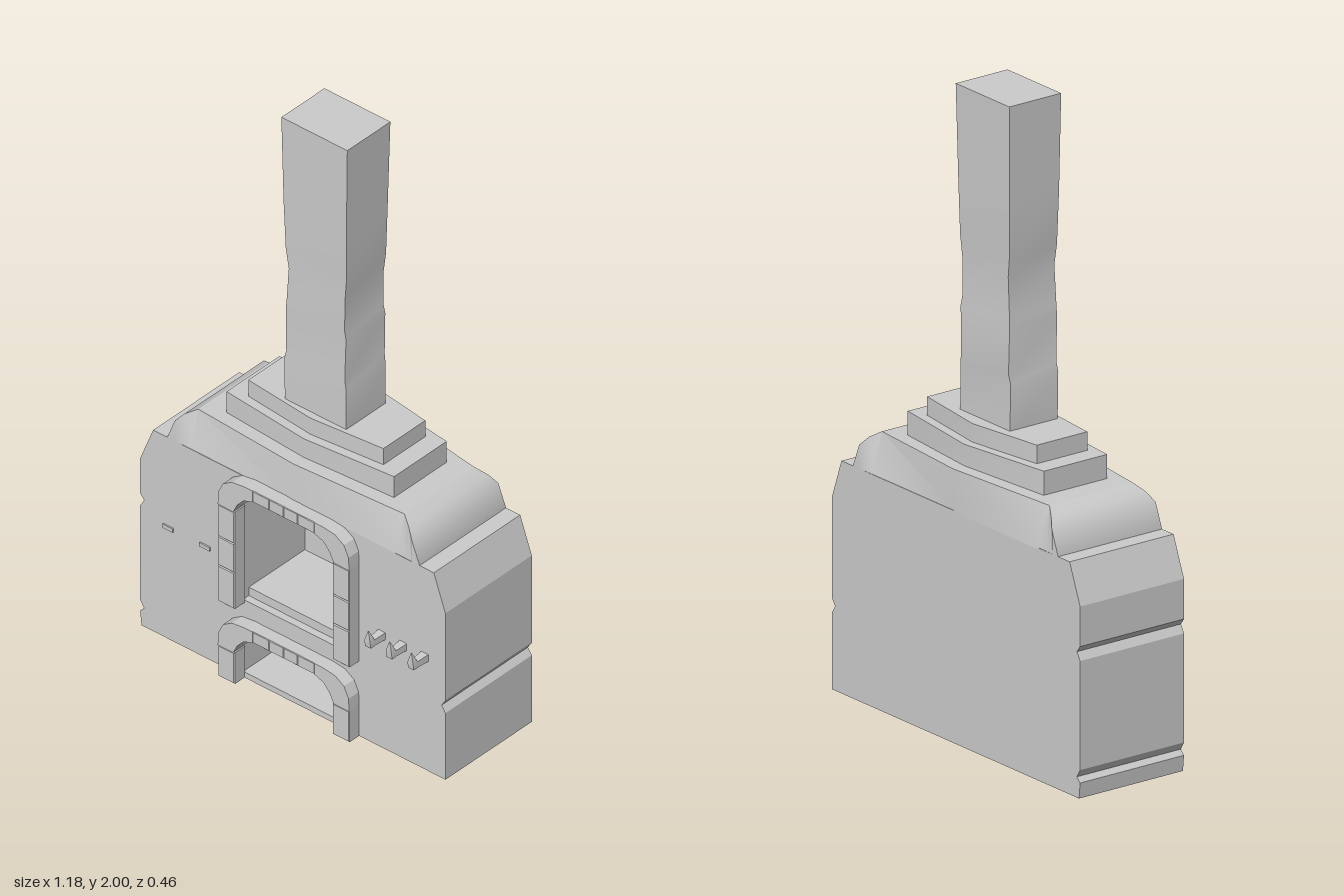
import * as THREE from 'three';
import { toCreasedNormals } from 'three/addons/utils/BufferGeometryUtils.js';

const stone = new THREE.MeshStandardMaterial({ color: 0xcccccc });

function add(parent, name, geometry, x = 0, y = 0, z = 0) {
  const mesh = new THREE.Mesh(geometry, stone);
  mesh.name = name;
  mesh.position.set(x, y, z);
  parent.add(mesh);
  return mesh;
}

function shapeOf(points) {
  return new THREE.Shape(points.map(([x, y]) => new THREE.Vector2(x, y)));
}

function extrude(shape, depth, bevel = 0) {
  return new THREE.ExtrudeGeometry(shape, {
    depth: depth - bevel, bevelEnabled: bevel > 0, bevelSize: bevel,
    bevelThickness: bevel, bevelOffset: -bevel, bevelSegments: 1, curveSegments: 10,
  });
}

// Skin a series of rings (counter-clockwise seen from the end), with end caps
function loft(rings) {
  const pos = [];
  const tri = (a, b, c) => pos.push(...a, ...b, ...c);
  const n = rings[0].length;
  for (let r = 0; r < rings.length - 1; r++) {
    for (let i = 0; i < n; i++) {
      const j = (i + 1) % n;
      tri(rings[r][i], rings[r][j], rings[r + 1][j]);
      tri(rings[r][i], rings[r + 1][j], rings[r + 1][i]);
    }
  }
  const first = rings[0], last = rings[rings.length - 1];
  for (let i = 1; i < n - 1; i++) {
    tri(first[0], first[i + 1], first[i]);
    tri(last[0], last[i], last[i + 1]);
  }
  const g = new THREE.BufferGeometry();
  g.setAttribute('position', new THREE.Float32BufferAttribute(pos, 3));
  return toCreasedNormals(g, 0.5);
}

// Inner and outer corner curves of an arch, measured above its springing line
const innerCorner = [[0.195, 0], [0.18, 0.03], [0.155, 0.058], [0.12, 0.07]];
const outerCorner = [[0.255, 0], [0.253, 0.045], [0.235, 0.082], [0.2, 0.104], [0.15, 0.11], [0.12, 0.11]];
const flip = (pts) => pts.map(([x, y]) => [-x, y]);
const raise = (pts, dy) => pts.map(([x, y]) => [x, y + dy]);

// Outline of an opening with the arch's inner curve
function openingPoints(bottom, spring) {
  const right = [[0.195, bottom], ...raise(innerCorner, spring)];
  return [...right, ...flip(right).reverse()];
}

// Stone surround: stacked pillar blocks, curved corners and a row of top stones
function surround(name, spring, levels) {
  const group = new THREE.Group();
  group.name = name;
  for (const side of [1, -1]) {
    for (let i = 0; i < levels.length - 1; i++) {
      const h = levels[i + 1] - levels[i];
      const block = [[0.19, 0], [0.255, 0], [0.255, h], [0.19, h]].map(([x, y]) => [x * side, y + levels[i]]);
      add(group, 'pillarBlock', extrude(shapeOf(block), 0.047, 0.003), 0, 0, 0.163);
    }
    const corner = raise([...outerCorner, ...[...innerCorner].reverse()], spring);
    add(group, 'cornerStone', extrude(shapeOf(side > 0 ? corner : flip(corner)), 0.05), 0, 0, 0.16);
  }
  const cuts = [-0.12, -0.055, 0, 0.055, 0.12];
  for (let i = 0; i < cuts.length - 1; i++) {
    const w = cuts[i + 1] - cuts[i];
    const top = [[0, 0.07], [w, 0.07], [w, 0.11], [0, 0.11]].map(([x, y]) => [cuts[i] + x, spring + y]);
    add(group, 'topStone', extrude(shapeOf(top), 0.049, 0.002), 0, 0, 0.161);
  }
  return group;
}

export function createModel() {
  const root = new THREE.Group();
  root.name = 'stoneOven';

  // Main body with chipped sides, solid behind and hollowed in front
  const outline = [
    [-0.59, 0], [0.59, 0], [0.59, 0.24], [0.575, 0.262], [0.59, 0.285], [0.59, 0.6],
    [0.545, 0.725], [-0.545, 0.725], [-0.595, 0.6], [-0.595, 0.475], [-0.58, 0.455],
    [-0.595, 0.43], [-0.595, 0.09], [-0.58, 0.065], [-0.595, 0.05],
  ];
  add(root, 'bodyBack', extrude(shapeOf(outline), 0.11), 0, 0, -0.22);
  const front = shapeOf(outline);
  front.holes.push(shapeOf(openingPoints(0.28, 0.62)), shapeOf(openingPoints(0.02, 0.112)));
  add(root, 'bodyFront', extrude(front, 0.275), 0, 0, -0.11);

  // Shoulders: x, top height, front and back depth of the top edge
  const half = [[0.49, 0.725, 0.165, -0.22], [0.46, 0.8, 0.165, -0.22], [0.435, 0.828, 0.15, -0.203], [0.4, 0.85, 0.13, -0.182]];
  const stations = [...half.map(([x, ...r]) => [-x, ...r]), [0, 0.86, 0.165, -0.23], ...[...half].reverse()];
  add(root, 'shoulders', loft(stations.map(([x, y, f, b]) => [
    [x, 0.72, -0.22], [x, y, b], [x, y, f], [x, 0.72, 0.165]])));

  // Two stepped six-sided slabs
  const slab = (name, w, f, fm, b, bm, y0, y1) => add(root, name, loft([y0, y1].map((y) => [
    [w, y, f], [w, y, b], [0, y, bm], [-w, y, b], [-w, y, f], [0, y, fm]])));
  slab('lowerSlab', 0.325, 0.09, 0.12, -0.145, -0.188, 0.84, 0.927);
  slab('upperSlab', 0.262, 0.065, 0.09, -0.122, -0.158, 0.92, 0.985);

  // Uneven chimney: height, left, right, back, front
  const courses = [
    [0.97, -0.12, 0.117, -0.112, 0.065], [1.13, -0.122, 0.118, -0.11, 0.066],
    [1.16, -0.115, 0.112, -0.113, 0.065], [1.31, -0.117, 0.117, -0.11, 0.065],
    [1.34, -0.113, 0.112, -0.108, 0.066], [1.46, -0.106, 0.113, -0.107, 0.064],
    [1.53, -0.116, 0.12, -0.11, 0.066], [1.7, -0.122, 0.122, -0.115, 0.069],
    [2, -0.128, 0.128, -0.12, 0.072],
  ];
  add(root, 'chimney', loft(courses.map(([y, l, r, b, f]) => [[r, y, f], [r, y, b], [l, y, b], [l, y, f]])));

  // Firebox and ash opening
  root.add(surround('fireboxSurround', 0.62, [0.27, 0.4, 0.505, 0.62]));
  root.add(surround('ashSurround', 0.112, [0, 0.112]));
  add(root, 'hearthFloor', new THREE.BoxGeometry(0.39, 0.035, 0.25), 0, 0.2925, 0.015);
  add(root, 'ashBackWall', new THREE.BoxGeometry(0.4, 0.17, 0.1), 0, 0.1, -0.06);

  // Flat eyelets on one side
  const plate = shapeOf([[-0.02, -0.045], [0.02, -0.045], [0.02, 0.005], [-0.02, 0.005]]);
  plate.holes.push(new THREE.Path().absarc(0, -0.025, 0.013, 0, Math.PI * 2, true));
  for (const x of [-0.485, -0.342]) {
    add(root, 'eyelet', extrude(plate, 0.013), x, 0.408, 0.165).rotation.x = Math.PI / 2;
  }

  // Hooks with upright spikes on the other side
  for (const x of [0.343, 0.426, 0.51]) {
    const ring = (w, y0, y1, z) => [[x - w, y0, z], [x + w, y0, z], [x + w, y1, z], [x - w, y1, z]];
    add(root, 'hookArm', loft([ring(0.014, 0.395, 0.42, 0.16), ring(0.009, 0.395, 0.415, 0.225)]));
    const level = (y, w, z0, z1) => [[x + w, y, z1], [x + w, y, z0], [x - w, y, z0], [x - w, y, z1]];
    add(root, 'hookSpike', loft([level(0.395, 0.011, 0.207, 0.227), level(0.418, 0.011, 0.21, 0.23), level(0.452, 0.001, 0.224, 0.226)]));
  }
  return root;
}
